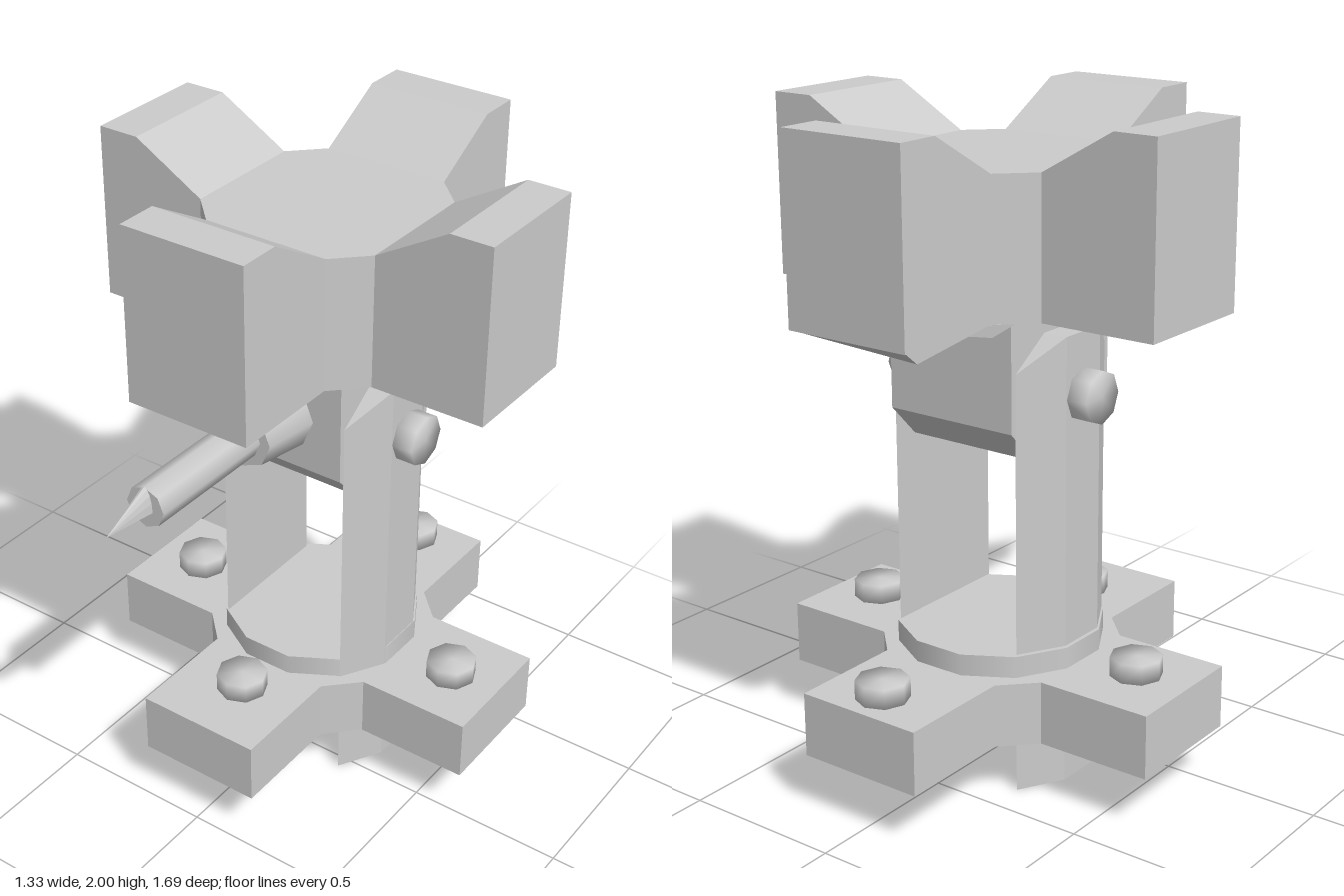
import * as THREE from 'three';
import { mergeVertices } from 'three/addons/utils/BufferGeometryUtils.js';
import { ConvexGeometry } from 'three/addons/geometries/ConvexGeometry.js';

const CZ = -0.183; // z of the column axis
const CX = 0.005; // slight sideways offset of the inner parts
const W = 0.204; // half width of the cross arms
const flat = new THREE.MeshStandardMaterial({ color: 0xcccccc, flatShading: true });
const thin = new THREE.MeshStandardMaterial({ color: 0xcccccc, flatShading: true, side: THREE.DoubleSide });
const smooth = new THREE.MeshStandardMaterial({ color: 0xcccccc });
const V = (x, y, z) => new THREE.Vector3(x, y, z);
const shapeOf = (points) => new THREE.Shape(points.map(([x, y]) => new THREE.Vector2(x, y)));

function add(parent, name, geometry, material = flat) {
  const mesh = new THREE.Mesh(geometry, material);
  mesh.name = name;
  parent.add(mesh);
  return mesh;
}

// Eight-sided stud with normals blended over its rims
function stud(radius, height) {
  const g = new THREE.CylinderGeometry(radius, radius, height, 8);
  g.deleteAttribute('normal');
  g.deleteAttribute('uv');
  const merged = mergeVertices(g);
  merged.computeVertexNormals();
  return merged;
}

// Eight-sided tube along z between two depths, with flat ends
function rodZ(rFront, rBack, zFront, zBack, y) {
  return new THREE.CylinderGeometry(rFront, rBack, zFront - zBack, 8)
    .rotateX(Math.PI / 2).translate(0, y, (zFront + zBack) / 2);
}

const octagon = [[0.3, -W], [0.3, W], [W, 0.3], [-W, 0.3], [-0.3, W], [-0.3, -W], [-W, -0.3], [W, -0.3]];
const cross = [];
for (let i = 0; i < 4; i++) {
  const c = Math.round(Math.cos(i * Math.PI / 2)), s = Math.round(Math.sin(i * Math.PI / 2));
  for (const [x, z] of [[0.3, -W], [0.665, -W], [0.665, W], [0.3, W]]) cross.push([x * c - z * s, x * s + z * c]);
}

// Cross plate open underneath, with a collar and bolts
function makeBase() {
  const base = new THREE.Group();
  base.name = 'base';
  const y0 = 0.178, y1 = 0.375;
  const positions = [];
  cross.forEach(([x, z], i) => {
    const [u, w] = cross[(i + 1) % cross.length];
    const a = [x, y0, CZ - z], b = [u, y0, CZ - w], c = [u, y1, CZ - w], d = [x, y1, CZ - z];
    positions.push(...a, ...b, ...c, ...a, ...c, ...d);
  });
  const walls = new THREE.BufferGeometry();
  walls.setAttribute('position', new THREE.Float32BufferAttribute(positions, 3));
  walls.computeVertexNormals();
  add(base, 'baseWalls', walls, thin);
  add(base, 'baseTop', new THREE.ShapeGeometry(shapeOf(cross)).rotateX(-Math.PI / 2).translate(0, y1, CZ), thin);
  add(base, 'collar', new THREE.CylinderGeometry(0.316, 0.316, 0.067, 12)
    .rotateY(Math.PI / 12).translate(0, 0.408, CZ), smooth);
  for (const [x, z] of [[0.495, -0.175], [-0.495, -0.175], [0, 0.26], [0, -0.733]])
    add(base, 'bolt', stud(0.08, 0.065).translate(x + CX, 0.402, z), smooth);
  return base;
}

// Cross-shaped head with four raised arms
function makeHead() {
  const head = new THREE.Group();
  head.name = 'head';
  add(head, 'headCore', new THREE.ExtrudeGeometry(shapeOf(octagon), { depth: 0.415, bevelEnabled: false })
    .rotateX(-Math.PI / 2).translate(0, 1.453, CZ));
  const profile = shapeOf([[0.3, 1.453], [0.665, 1.453], [0.665, 2], [0.53, 2], [0.3, 1.868]]);
  const arm = new THREE.ExtrudeGeometry(profile, { depth: 2 * W, bevelEnabled: false }).translate(0, 0, -W);
  for (let i = 0; i < 4; i++) {
    const mesh = add(head, 'headArm', arm);
    mesh.rotation.y = i * Math.PI / 2;
    mesh.position.z = CZ;
  }
  // Two shallow folds under the rear arm
  const y = 1.454, low = 1.417;
  add(head, 'rearFold', new ConvexGeometry([
    V(-0.25, y, -0.435), V(-W, y, -0.483), V(0, y, -0.72), V(0.2, y, -0.44), V(-W, low, -0.482),
  ]));
  add(head, 'rearFold', new ConvexGeometry([
    V(-W, y, -0.5), V(W, y, -0.5), V(W, y, -0.845), V(-W, y, -0.845), V(-W, low, -0.8),
  ]));
  return head;
}

// Tapered upright with a pin on its outer face; side is +1 or -1
function makePost(side) {
  const post = new THREE.Group();
  post.name = side > 0 ? 'leftPost' : 'rightPost';
  post.position.x = CX;
  const points = [];
  for (const [z, zOuter] of [[0.043, -0.093], [-0.393, -0.257]]) {
    points.push(V(side * 0.22, 0, z), V(side * 0.22, 1.292, z), V(side * 0.22, 1.384, zOuter));
    points.push(V(side * 0.298, 0, zOuter), V(side * 0.298, 1.384, zOuter));
  }
  add(post, 'upright', new ConvexGeometry(points));
  add(post, 'pin', stud(0.08, 0.085).rotateZ(Math.PI / 2).translate(side * 0.322, 1.198, -0.175), smooth);
  return post;
}

// Block between the posts with its spout and split point
function makeBody() {
  const body = new THREE.Group();
  body.name = 'body';
  body.position.x = CX;
  const profile = shapeOf([[-0.06, 1.46], [-0.06, 1.12], [0.04, 1.016], [0.31, 1.016], [0.41, 1.12], [0.41, 1.46]]);
  add(body, 'block', new THREE.ExtrudeGeometry(profile, { depth: 0.438, bevelEnabled: false })
    .translate(0, 0, -0.219).rotateY(Math.PI / 2));
  add(body, 'spoutCollar', rodZ(0.098, 0.123, 0.24, 0.05, 1.29), smooth);
  add(body, 'spout', rodZ(0.064, 0.064, 0.677, 0.2, 1.29), smooth);
  // Narrow half cone, open below
  add(body, 'spoutTip', new THREE.ConeGeometry(0.075, 0.163, 8, 1, true, Math.PI / 2, Math.PI)
    .rotateX(Math.PI / 2).scale(0.35, 1, 1).translate(0, 1.281, 0.759), thin);
  return body;
}

export function createModel() {
  const model = new THREE.Group();
  model.name = 'standingMechanism';
  model.add(makeBase(), makePost(1), makePost(-1), makeBody(), makeHead());
  return model;
}
